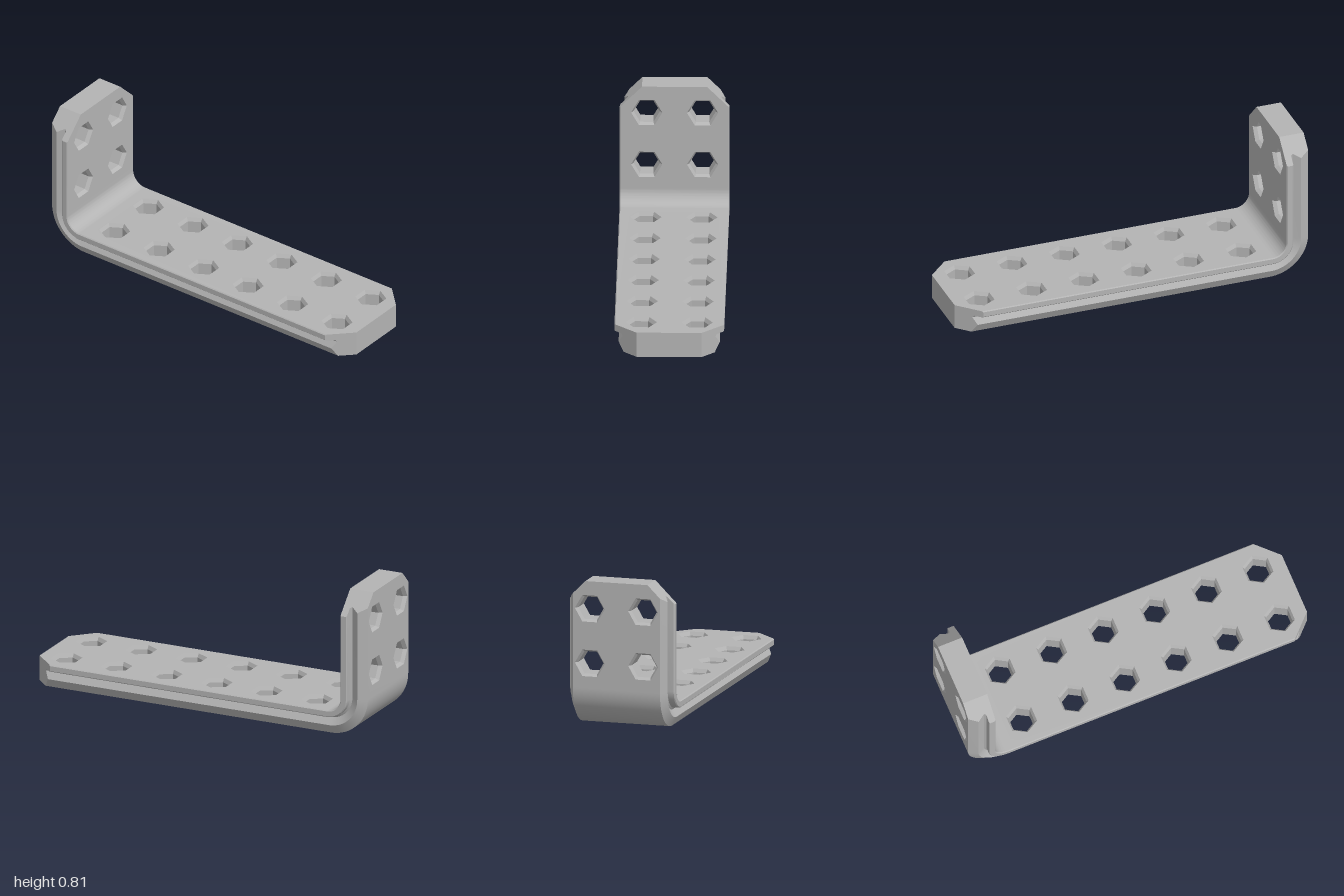
import * as THREE from 'three';
import { toCreasedNormals } from 'three/addons/utils/BufferGeometryUtils.js';

// The bracket is made as a straight bar (top up, along z) and then bent at z = 0..-1.
const T = 0.14;                  // plate thickness
const R = 0.22;                  // outer bend radius
const FRONT = 1.78, BACK = 1.59; // bar ends
const FLAT = 0.175;              // half width of the end faces between clipped corners
const CHAMFER = 0.02;            // depth of hole chamfers

// Right edge of the cross-section, bottom to top, with the side groove
const rightEdge = [
  [0.245, 0], [0.272, 0.05], [0.249, 0.09], [0.256, 0.102],
  [0.29, 0.102], [0.295, 0.107], [0.295, 0.135], [0.29, T],
];
const leftEdge = rightEdge.map(([x, y]) => [-x, y]).reverse();
const ring = [...rightEdge, ...leftEdge];

const clip = (x) => Math.max(0, Math.abs(x) - FLAT);
const frontEnd = (x) => FRONT - clip(x);
const backEnd = (x) => -BACK + clip(x);

// Bending rule: long leg, quarter arc, short upright leg
function bend([x, y, z]) {
  if (z >= 0) return [x, y, z - 0.78];
  if (z <= -1) return [x, R - z - 1, y - 1];
  const a = -z * Math.PI / 2, r = R - y;
  return [x, R - r * Math.cos(a), -0.78 - r * Math.sin(a)];
}

function hexPoints(cx, cz, r) {
  return Array.from({ length: 6 }, (_, k) => {
    const a = k * Math.PI / 3;
    return [cx + r * Math.cos(a), cz + r * Math.sin(a)];
  });
}

export function createModel() {
  const positions = [];
  const tri = (...pts) => pts.forEach((p) => positions.push(...bend(p)));
  const quad = (a, b, c, d) => { tri(a, b, c); tri(a, c, d); };

  // Flat polygon with holes, placed in the bar by a mapping
  function face(outline, holes, place, flip) {
    const shape = new THREE.Shape(outline.map((p) => new THREE.Vector2(...p)));
    holes.forEach((h) => shape.holes.push(new THREE.Path(h.map((p) => new THREE.Vector2(...p)))));
    const g = new THREE.ShapeGeometry(shape);
    const pos = g.attributes.position, idx = g.index;
    const at = (i) => place(pos.getX(idx.getX(i)), pos.getY(idx.getX(i)));
    for (let i = 0; i < idx.count; i += 3) {
      if (flip) tri(at(i), at(i + 2), at(i + 1));
      else tri(at(i), at(i + 1), at(i + 2));
    }
  }

  // Hole centres in bar coordinates
  const centres = (zs) => zs.flatMap((z) => [[-0.15, z], [0.15, z]]);
  const longHoles = centres([0.85, 0.55, 0.25, -0.05, -0.35, -0.65].map((z) => z + 0.78));
  const shortHoles = centres([0.36, 0.66].map((y) => -(y + 0.78)));

  // Top and bottom faces of both legs
  for (const [y, w] of [[T, 0.29], [0, 0.245]]) {
    for (const [holes, z0, end] of [[longHoles, 0, frontEnd], [shortHoles, -1, backEnd]]) {
      const outline = [[-w, z0], [w, z0], [w, end(w)], [FLAT, end(FLAT)], [-FLAT, end(FLAT)], [-w, end(w)]]
        .map(([x, z]) => [x, -z]);
      const cuts = holes.map(([x, z]) => hexPoints(x, -z, 0.084));
      face(outline, cuts, (x, v) => [x, y, -v], y === 0);
    }
  }

  // Hexagonal holes with chamfered rims
  const levels = [[0, 0.084], [CHAMFER, 0.071], [T - CHAMFER, 0.071], [T, 0.084]];
  for (const [cx, cz] of [...longHoles, ...shortHoles]) {
    for (let j = 0; j < 3; j++) {
      const [y0, r0] = levels[j], [y1, r1] = levels[j + 1];
      const lo = hexPoints(cx, cz, r0), hi = hexPoints(cx, cz, r1);
      for (let k = 0; k < 6; k++) {
        const n = (k + 1) % 6;
        const p = (h, y) => [h[0], y, h[1]];
        quad(p(lo[k], y0), p(lo[n], y0), p(hi[n], y1), p(hi[k], y1));
      }
    }
  }

  // Grooved sides along the legs, and the whole section round the bend
  const steps = 20;
  ring.forEach((p, i) => {
    const q = ring[(i + 1) % ring.length];
    const strip = (p1, q1, p2, q2) => quad([...p, p1], [...p, p2], [...q, q2], [...q, q1]);
    for (let s = 0; s < steps; s++) {
      strip(-s / steps, -s / steps, -(s + 1) / steps, -(s + 1) / steps);
    }
    if (p[1] === q[1] && p[0] * q[0] < 0) return; // flat faces are already made
    strip(frontEnd(p[0]), frontEnd(q[0]), 0, 0);
    strip(-1, -1, backEnd(p[0]), backEnd(q[0]));
  });

  // End faces and clipped corners
  const caps = [
    [[-FLAT, 0], [FLAT, 0], [FLAT, T], [-FLAT, T]],
    [[FLAT, 0], ...rightEdge, [FLAT, T]],
    [[-FLAT, T], ...leftEdge, [-FLAT, 0]],
  ];
  for (const cap of caps) {
    face(cap, [], (x, y) => [x, y, frontEnd(x)], false);
    face(cap, [], (x, y) => [x, y, backEnd(x)], true);
  }

  const geometry = new THREE.BufferGeometry();
  geometry.setAttribute('position', new THREE.Float32BufferAttribute(positions, 3));
  const material = new THREE.MeshStandardMaterial({ color: 0xb4b4b4 });
  material.name = 'light grey';
  const bracket = new THREE.Mesh(toCreasedNormals(geometry, 0.3), material);
  bracket.name = 'angleBracket';

  const group = new THREE.Group();
  group.name = 'perforatedBracket';
  group.add(bracket);
  return group;
}
